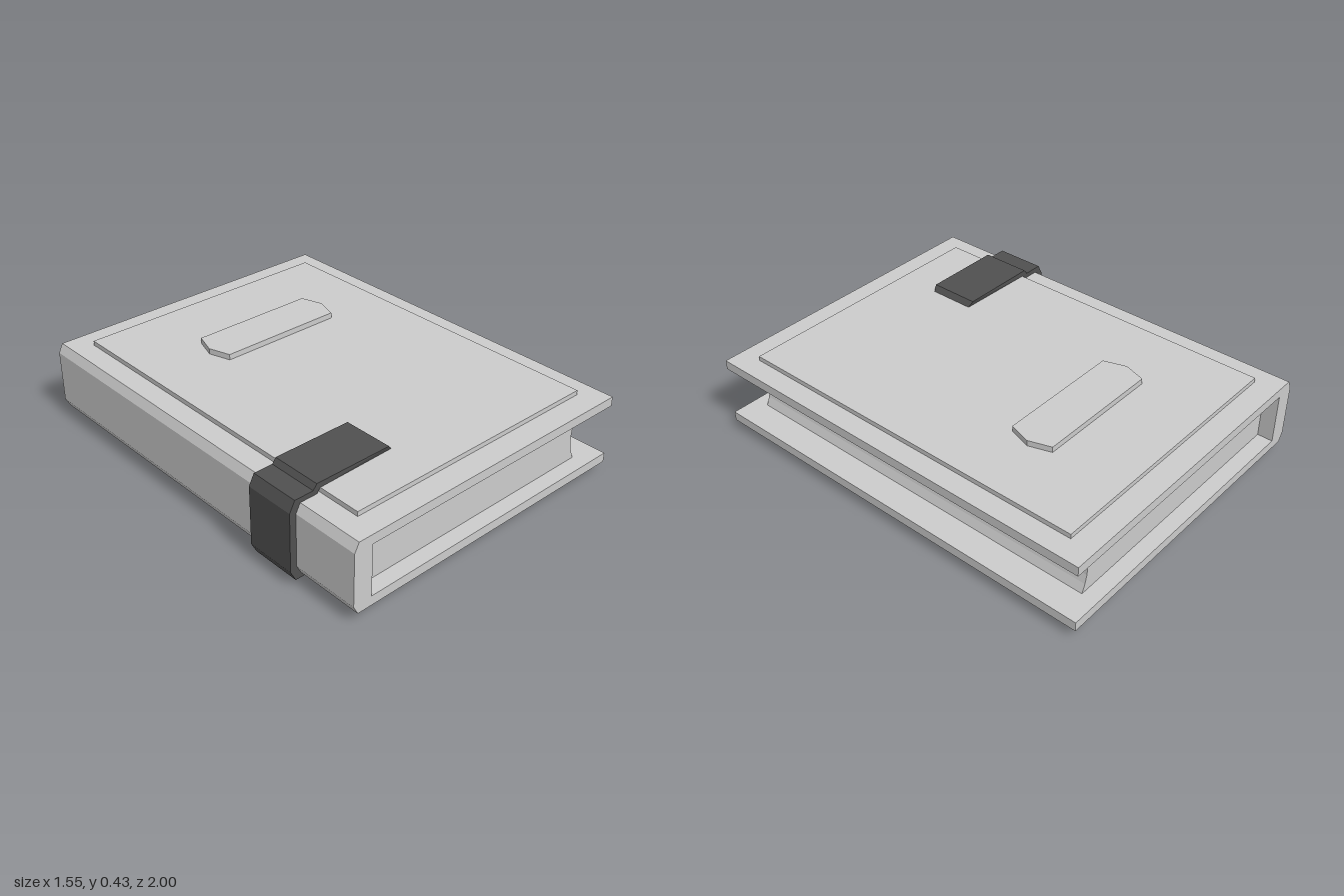
import * as THREE from 'three';

const MID = 0.216; // half height: every profile is mirrored about this level

const grey = new THREE.MeshStandardMaterial({ color: 0xcccccc, flatShading: true });
const dark = new THREE.MeshStandardMaterial({ color: 0x505050, flatShading: true });

// Closes an upper half profile [x, height above MID] with its mirror image
function mirrored(half) {
  const lower = half.slice().reverse().map(([x, y]) => [x, -y]);
  return half.concat(lower);
}

// Extrudes an x/y profile between two z values
function extrudeZ(points, z0, z1) {
  const shape = new THREE.Shape(points.map(([x, y]) => new THREE.Vector2(x, y)));
  const geo = new THREE.ExtrudeGeometry(shape, { depth: z1 - z0, bevelEnabled: false });
  return geo.translate(0, 0, z0);
}

export function createModel() {
  const book = new THREE.Group();
  book.name = 'book';
  const add = (name, geo, material = grey, y = MID) => {
    const mesh = new THREE.Mesh(geo, material);
    mesh.name = name;
    mesh.position.y = y;
    book.add(mesh);
    return mesh;
  };

  // Cover: two boards joined by a spine with chamfered edges
  add('cover', extrudeZ(mirrored([
    [-0.655, 0.122], [0.775, 0.122], [0.775, 0.167], [-0.725, 0.167], [-0.747, 0.125],
  ].reverse()).reverse().map((p) => p), -1, 1));

  // Page block with a hollow fore edge
  const foreEdge = [];
  for (let i = 0; i <= 6; i++) {
    const t = i / 3 - 1;
    foreEdge.push([0.612 + 0.03 * t * t, 0.123 * t]);
  }
  add('pages', extrudeZ([[-0.66, 0.123], [-0.66, -0.123], ...foreEdge], -0.926, 0.926));

  // Raised panels on both boards
  for (const [name, side] of [['topPanel', 1], ['bottomPanel', -1]]) {
    const panel = add(name, new THREE.BoxGeometry(1.3, 0.024, 1.772), grey, MID + side * 0.177);
    panel.position.x = 0.025;
  }

  // Title plate with pointed ends
  const plate = extrudeZ([
    [-0.302, 0], [-0.268, -0.106], [0.348, -0.106], [0.382, 0], [0.348, 0.106], [-0.268, 0.106],
  ], 0, 0.03).rotateX(-Math.PI / 2);
  add('titlePlate', plate, grey, 0.402).position.z = -0.43;

  // Strap wrapped around the spine, following the step up onto the panels
  const outer = [
    [-0.238, 0.188], [-0.26, 0.214], [-0.642, 0.214], [-0.66, 0.19], [-0.752, 0.19], [-0.778, 0.14],
  ];
  const inner = [[-0.747, 0.125], [-0.725, 0.166], [-0.64, 0.166], [-0.626, 0.188]];
  const strap = extrudeZ([...mirrored(outer), ...mirrored(inner.slice().reverse()).map((p) => [p[0], -p[1]])], 0.44, 0.68);
  // Narrow the two strap tips
  const pos = strap.attributes.position;
  for (let i = 0; i < pos.count; i++) {
    if (pos.getX(i) > -0.25) pos.setZ(i, 0.56 + (pos.getZ(i) - 0.56) * 0.92);
  }
  strap.computeVertexNormals();
  add('strap', strap, dark);

  return book;
}
